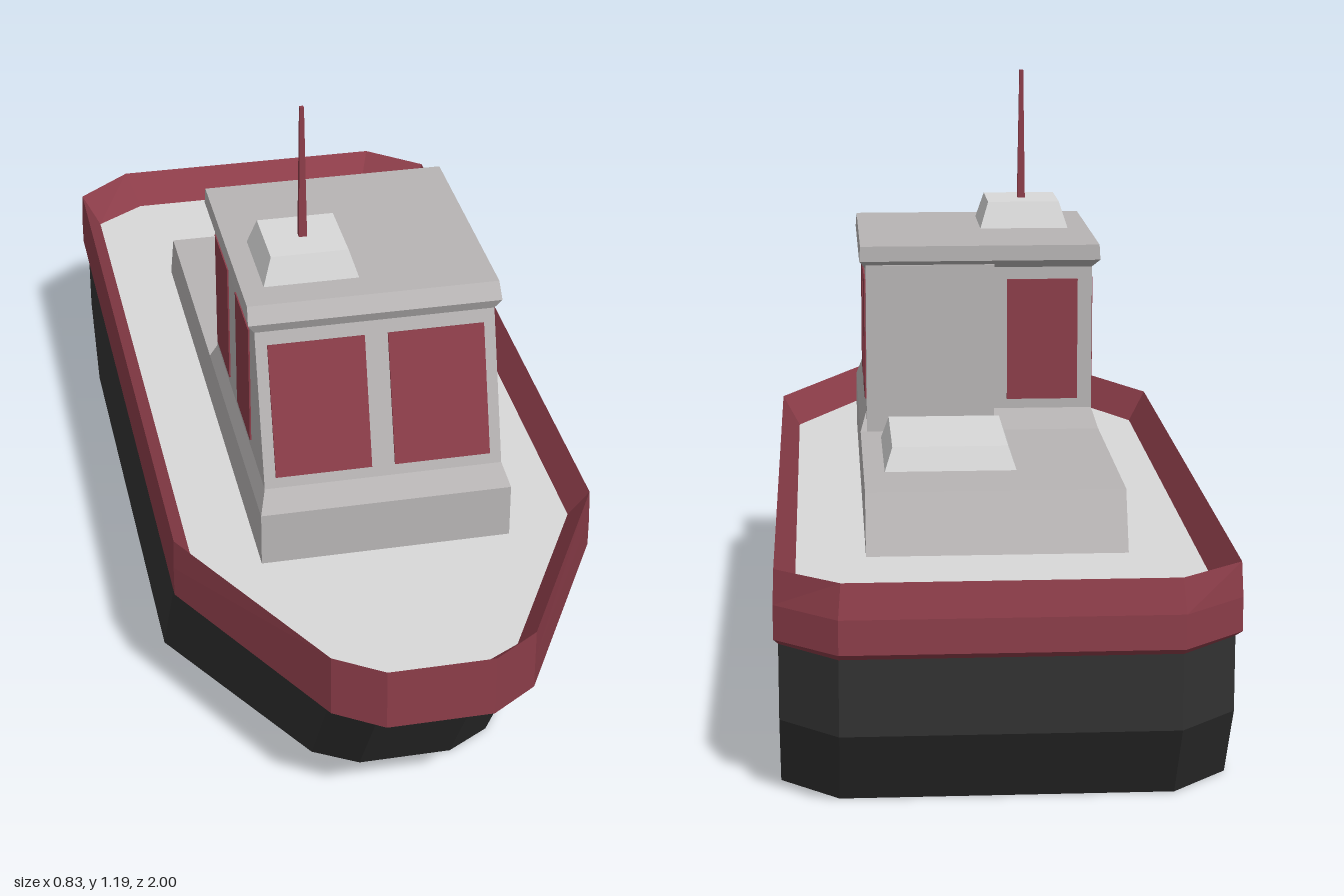
import * as THREE from 'three';

const mat = (name, color) => Object.assign(new THREE.MeshStandardMaterial({ color }), { name });

// Horizontal ring at height y: half is [x, z] from bow to stern, mirrored to the other side
function ring(y, half, cx = 0) {
  const other = half.map(([x, z]) => [-x, z]).reverse();
  return [...half, ...other].map(([x, z]) => [x + cx, y, z]);
}

const rect = (y, x, front, back, cx = 0) => ring(y, [[x, front], [x, back]], cx);

// Flat-shaded skin through a stack of rings, with optional end caps
function loft(rings, bottom = true, top = true) {
  const pos = [];
  const tri = (...pts) => pts.forEach((p) => pos.push(...p));
  for (let r = 0; r < rings.length - 1; r++) {
    const a = rings[r], b = rings[r + 1], n = a.length;
    for (let i = 0; i < n; i++) {
      const j = (i + 1) % n;
      tri(a[i], a[j], b[j]);
      tri(a[i], b[j], b[i]);
    }
  }
  const lo = rings[0], hi = rings[rings.length - 1];
  for (let i = 1; i < lo.length - 1; i++) {
    if (bottom) tri(lo[0], lo[i + 1], lo[i]);
    if (top) tri(hi[0], hi[i], hi[i + 1]);
  }
  const g = new THREE.BufferGeometry();
  g.setAttribute('position', new THREE.Float32BufferAttribute(pos, 3));
  g.computeVertexNormals();
  return g;
}

export function createModel() {
  const boat = new THREE.Group();
  boat.name = 'boat';
  const black = mat('hullBlack', 0x323232);
  const red = mat('darkRed', 0x8c3d49);
  const grey = mat('cabinGrey', 0xb7b4b4);
  const pale = mat('deckGrey', 0xd8d8d8);

  const add = (name, geometry, material, parent = boat) => {
    const mesh = new THREE.Mesh(geometry, material);
    mesh.name = name;
    parent.add(mesh);
    return mesh;
  };

  // Hull: raked bow, tucked-in stern
  const waist = [[0.09, 0.93], [0.175, 0.88], [0.405, 0.48], [0.405, -0.87], [0.3, -0.97]];
  const shift = (bow, stern) => waist.map(([x, z]) => [x, z + (z > 0 ? -bow : stern)]);
  add('hull', loft([
    ring(0, shift(0.2, 0.1)),
    ring(0.15, shift(0.1, 0)),
    ring(0.3, waist),
  ]), black);

  // Bulwark: red band whose inner face slopes down to the deck
  const outer = [[0.1, 1], [0.19, 0.94], [0.413, 0.53], [0.413, -0.9], [0.3, -1]];
  const rim = [[0.1, 1], [0.19, 0.94], [0.411, 0.53], [0.411, -0.89], [0.295, -0.985]];
  const inner = [[0.09, 0.935], [0.17, 0.89], [0.375, 0.51], [0.375, -0.86], [0.27, -0.93]];
  add('bulwark', loft([
    ring(0.29, waist), ring(0.307, outer), ring(0.37, outer), ring(0.432, rim), ring(0.37, inner),
  ], false, false), red);
  add('deck', loft([ring(0.36, inner), ring(0.37, inner)]), pale);

  // Low cabin trunk with sloping aft end
  add('cabinTrunk', loft([rect(0.365, 0.245, 0.55, -0.605), rect(0.48, 0.245, 0.55, -0.55)]), grey);

  // Wheelhouse with flared sill and overhanging roof
  const house = new THREE.Group();
  house.name = 'wheelhouse';
  boat.add(house);
  add('wheelhouseWalls', loft([
    rect(0.48, 0.245, 0.55, -0.045),
    rect(0.52, 0.232, 0.52, -0.02),
    rect(0.815, 0.232, 0.4315, -0.02),
    rect(0.835, 0.245, 0.44, -0.06),
    rect(0.866, 0.243, 0.42, -0.06),
  ]), grey, house);
  add('aftWallPanel', new THREE.BoxGeometry(0.262, 0.345, 0.03), grey, house)
    .position.set(0.101, 0.652, -0.03);

  // Windows
  const pane = (name, w, h, d, x, y, z, tilt = 0) => {
    const m = add(name, new THREE.BoxGeometry(w, h, d), red, house);
    m.position.set(x, y, z);
    m.rotation.x = tilt;
  };
  for (const s of [-1, 1]) {
    pane('frontWindow', 0.187, 0.26, 0.008, s * 0.116, 0.665, 0.4765, -Math.atan(0.3));
    pane('sideWindowFore', 0.008, 0.25, 0.145, s * 0.231, 0.665, 0.305);
    pane('sideWindowAft', 0.008, 0.25, 0.145, s * 0.231, 0.665, 0.07);
  }
  pane('aftWindow', 0.145, 0.25, 0.008, -0.13, 0.665, -0.02);

  // Deck hatch, mast base and mast
  add('hatch', loft([
    rect(0.478, 0.128, -0.095, -0.395, 0.077), rect(0.525, 0.112, -0.11, -0.378, 0.077),
  ]), pale);
  add('mastBase', loft([
    rect(0.864, 0.093, 0.355, 0.172, -0.107), rect(0.92, 0.075, 0.338, 0.19, -0.107),
  ]), pale);
  add('mast', loft([
    rect(0.918, 0.008, 0.272, 0.256, -0.107), rect(1.192, 0.004, 0.268, 0.26, -0.107),
  ]), red);

  return boat;
}
